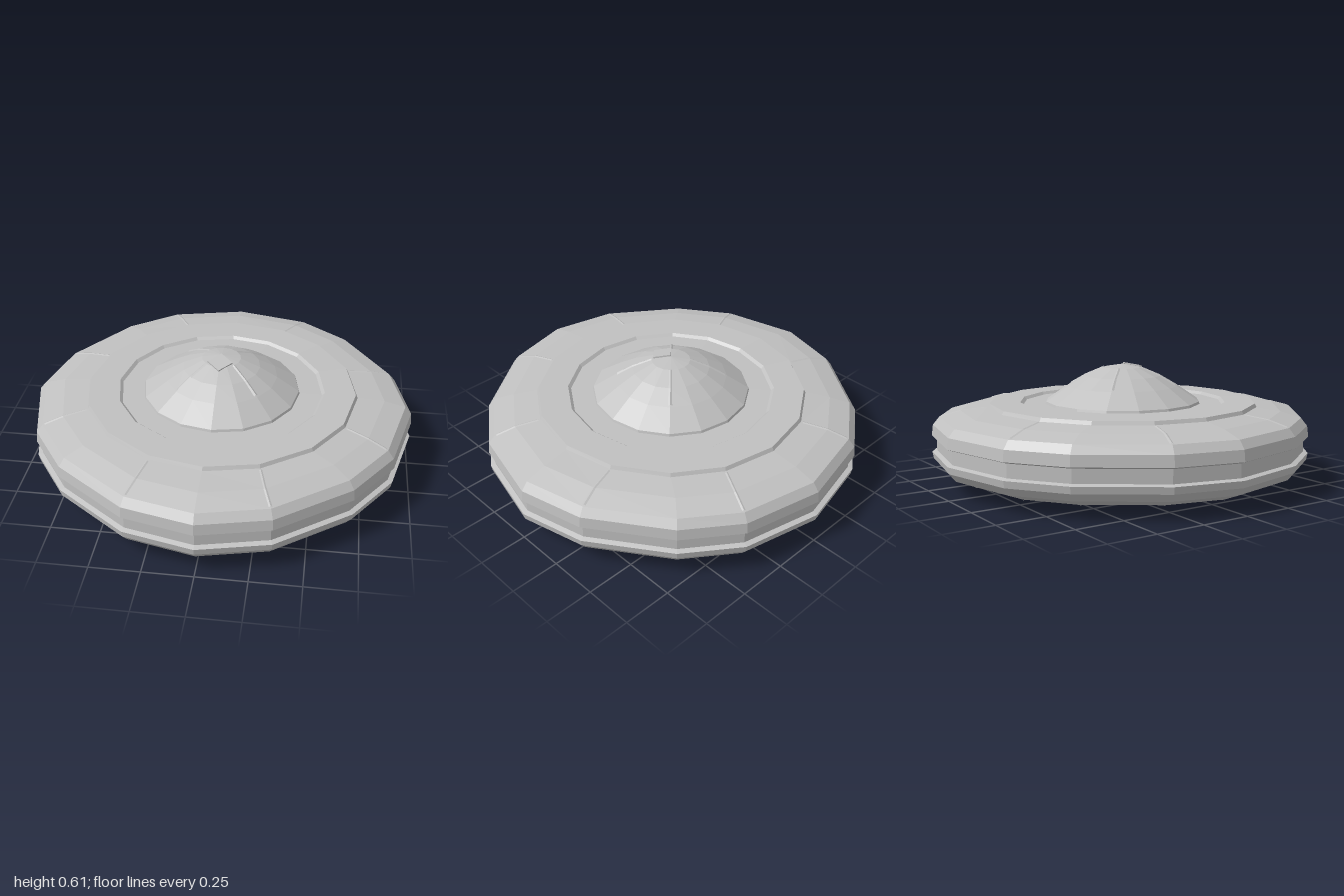
import * as THREE from 'three';

const SIDES = 16;
// half outline of the slightly uneven rim, front to back (x, z)
const RIM = [[0, 1], [0.35, 0.92], [0.71, 0.66], [0.9, 0.39], [1, -0.02], [0.92, -0.35], [0.66, -0.72], [0.4, -0.91], [0, -1]];

// hull cross-sections (radius, height)
const BOTTOM = [[0, 0.006], [0.3, 0.008], [0.64, 0.022], [0.86, 0.05], [0.96, 0.09]];
const SIDE = [[0.993, 0.13], [1, 0.165], [0.975, 0.172], [0.975, 0.24], [1, 0.25], [0.993, 0.305]];
const TOP = [[0.96, 0.345], [0.85, 0.375], [0.71, 0.39]];
const DECK = [[0.7, 0.408], [0.54, 0.41], [0.525, 0.396], [0.38, 0.398]];
const DOME = [[0.41, 0.395], [0.405, 0.41], [0.29, 0.487], [0.2, 0.54], [0.1, 0.583], [0, 0.6]];

// ring point: regular inside, following the uneven rim towards the outside
function ringPoint(i, r, y) {
  const k = ((i % SIDES) + SIDES) % SIDES;
  const a = (k / SIDES) * Math.PI * 2;
  const [rx, rz] = RIM[k <= 8 ? k : SIDES - k];
  const w = THREE.MathUtils.smoothstep(r, 0.6, 0.9);
  const x = THREE.MathUtils.lerp(Math.sin(a), k <= 8 ? rx : -rx, w);
  const z = THREE.MathUtils.lerp(Math.cos(a), rz, w);
  return new THREE.Vector3(x * r, y, z * r);
}

function faceted(geometry) {
  const g = geometry.index ? geometry.toNonIndexed() : geometry;
  g.computeVertexNormals();
  return g;
}

// sixteen-sided turned body following the rim outline
function turned(profile) {
  const g = new THREE.LatheGeometry(profile.map(([r, y]) => new THREE.Vector2(r, y)), SIDES);
  const p = g.attributes.position;
  for (let i = 0; i <= SIDES; i++) {
    profile.forEach(([r, y], j) => {
      const v = ringPoint(i, r, y);
      p.setXYZ(i * profile.length + j, v.x, v.y, v.z);
    });
  }
  return faceted(g);
}

// narrow raised seam along a spoke; h < 0 for the underside (path runs inward)
function seam(i, path, halfWidth, h) {
  const rows = path.map(([r, y]) => {
    const c = ringPoint(i, r, y);
    const s = new THREE.Vector3(c.z, 0, -c.x).normalize().multiplyScalar(halfWidth);
    const base = c.clone().setY(y - Math.sign(h) * 0.003);
    return [base.clone().sub(s), c.clone().setY(y + h), base.clone().add(s)];
  });
  const pts = [];
  for (let j = 0; j < rows.length - 1; j++) {
    const [l0, c0, r0] = rows[j], [l1, c1, r1] = rows[j + 1];
    pts.push(l0, l1, c1, l0, c1, c0, c0, c1, r1, c0, r1, r0);
  }
  return faceted(new THREE.BufferGeometry().setFromPoints(pts));
}

export function createModel() {
  const group = new THREE.Group();
  const grey = new THREE.MeshStandardMaterial({ color: 0xc0c0c0 });
  grey.name = 'light grey';
  const add = (name, geometry, parent = group) => {
    const mesh = new THREE.Mesh(geometry, grey);
    mesh.name = name;
    parent.add(mesh);
    return mesh;
  };

  // saucer body with grooved rim and raised deck ring, and the central dome
  add('hull', turned([...BOTTOM, ...SIDE, ...TOP, ...DECK]));
  add('dome', turned(DOME));

  // radial panel seams above and below
  const seams = new THREE.Group();
  seams.name = 'panelSeams';
  group.add(seams);
  const under = [[0.86, 0.05], [0.64, 0.022], [0.3, 0.008], [0.2, 0.007]];
  for (let i = 0; i < SIDES; i++) {
    add('lowerSeam', seam(i, under, 0.01, -0.004), seams);
    if (i % 2) add('upperSeam', seam(i, [[0.72, 0.389], [0.85, 0.375], [0.95, 0.348]], 0.014, 0.003), seams);
    if (i % 4 === 2) add('domeSeam', seam(i, [[0.1, 0.583], [0.2, 0.54], [0.28, 0.494]], 0.012, 0.004), seams);
  }

  // diamond hatch lying on the front of the dome
  const hatch = add('hatch', faceted(new THREE.BoxGeometry(0.09, 0.008, 0.09).rotateY(Math.PI / 4)));
  hatch.position.set(0, 0.591, 0.064);
  hatch.rotation.x = 0.22;

  // crossed bars at the centre of the underside
  for (const s of [-1, 1]) {
    add('underBar', faceted(new THREE.BoxGeometry(0.34, 0.008, 0.02))).position.set(0, 0.004, s * 0.07);
    add('underBar', faceted(new THREE.BoxGeometry(0.02, 0.008, 0.34))).position.set(s * 0.07, 0.004, 0);
  }
  return group;
}
